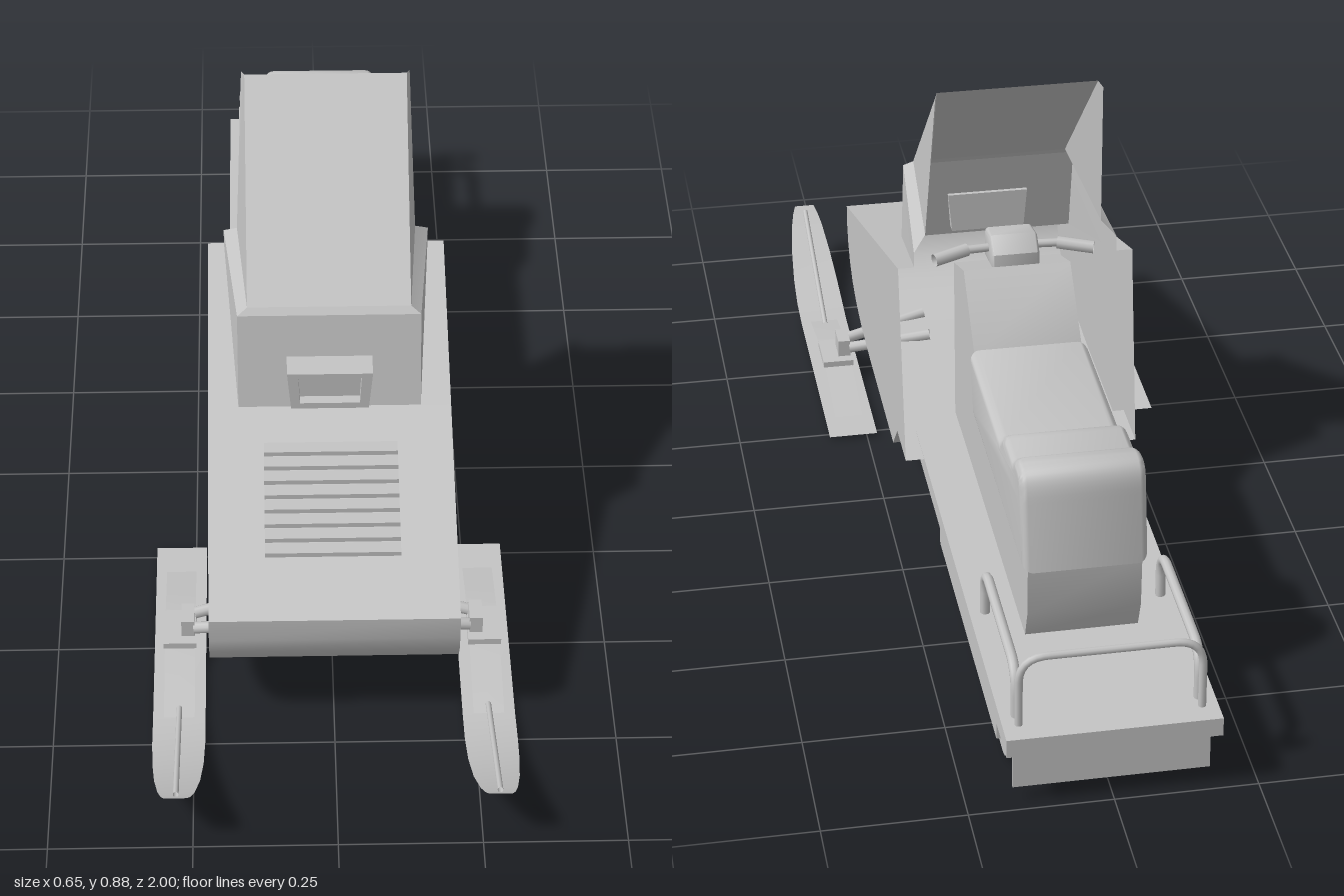
import * as THREE from 'three';
import { toCreasedNormals } from 'three/addons/utils/BufferGeometryUtils.js';

const grey = new THREE.MeshStandardMaterial({ color: 0xc4c4c4, side: THREE.DoubleSide });
grey.name = 'grey';

const V = (x, y, z) => new THREE.Vector3(x, y, z);

function add(parent, name, geometry, x = 0, y = 0, z = 0) {
  const m = new THREE.Mesh(geometry, grey);
  m.name = name;
  m.position.set(x, y, z);
  parent.add(m);
  return m;
}

const box = (w, h, d) => new THREE.BoxGeometry(w, h, d);
const sideShape = (pts) => new THREE.Shape(pts.map(([z, y]) => new THREE.Vector2(z, y)));

// Extrude a (z, y) side profile across x, centred on x = 0
function across(shape, width, bevel = 0) {
  const depth = width - 2 * bevel;
  const g = new THREE.ExtrudeGeometry(shape, {
    depth, bevelEnabled: bevel > 0, bevelSize: bevel, bevelThickness: bevel,
    bevelOffset: -bevel, bevelSegments: 5, curveSegments: 10,
  });
  return toCreasedNormals(g.translate(0, 0, -depth / 2).rotateY(-Math.PI / 2), 0.7);
}

// Thin skin through rows of points, all rows the same length
function skin(rows) {
  const n = rows[0].length, index = [];
  for (let i = 0; i < rows.length - 1; i++)
    for (let j = 0; j < n - 1; j++) {
      const a = i * n + j, b = a + n;
      index.push(a, b, a + 1, b, b + 1, a + 1);
    }
  const g = new THREE.BufferGeometry().setFromPoints(rows.flat());
  g.setIndex(index);
  g.computeVertexNormals();
  return g;
}

// Sheet of constant width following a (z, y) line
const sheet = (pts, w) => skin([-w / 2, w / 2].map((x) => pts.map(([z, y]) => V(x, y, z))));

// Tube along straight runs with rounded corners
function pipe(pts, r, bend = 0.05) {
  const path = new THREE.CurvePath();
  let from = pts[0];
  for (let i = 1; i < pts.length - 1; i++) {
    const p = pts[i];
    const a = p.clone().add(pts[i - 1].clone().sub(p).setLength(bend));
    const b = p.clone().add(pts[i + 1].clone().sub(p).setLength(bend));
    path.add(new THREE.LineCurve3(from, a));
    path.add(new THREE.QuadraticBezierCurve3(a, p, b));
    from = b;
  }
  path.add(new THREE.LineCurve3(from, pts[pts.length - 1]));
  return new THREE.TubeGeometry(path, pts.length > 2 ? 48 : 1, r, 10);
}

const hoodY = (z) => 0.26 + 0.347 * (0.715 - z);

// Rounded bar outline used for the track belt
function stadium(Type, z0, z1, y0, y1, r) {
  const s = new Type();
  s.moveTo(z0 + r, y0).lineTo(z1 - r, y0).quadraticCurveTo(z1, y0, z1, y0 + r);
  s.lineTo(z1, y1 - r).quadraticCurveTo(z1, y1, z1 - r, y1).lineTo(z0 + r, y1);
  s.quadraticCurveTo(z0, y1, z0, y1 - r).lineTo(z0, y0 + r).quadraticCurveTo(z0, y0, z0 + r, y0);
  return s;
}

function buildHood() {
  const g = new THREE.Group();
  g.name = 'hood';
  const nose = [[0.715, 0.26], [0.715, 0.215], [0.705, 0.18], [0.685, 0.148], [0.65, 0.12],
    [0.6, 0.1], [0.53, 0.087], [0.4, 0.08]];
  const belly = [[0.07, 0.08], [0.01, 0.143], [-0.1, 0.143]];
  for (const s of [1, -1])
    add(g, 'hoodSide', new THREE.ShapeGeometry(sideShape([...nose, ...belly, [-0.04, 0.522]]))
      .rotateY(-Math.PI / 2), s * 0.22);
  add(g, 'nose', sheet(nose, 0.44));
  add(g, 'bellyPan', sheet([[0.4, 0.08], belly[0]], 0.44));
  add(g, 'bellyRear', sheet([belly[0], belly[1]], 0.44));
  add(g, 'hoodFloor', sheet([belly[1], belly[2]], 0.44));
  // Sloping top with the cockpit opening cut into its rear
  add(g, 'hoodTop', sheet([[0.715, 0.26], [0.3, hoodY(0.3)]], 0.44));
  for (const s of [1, -1])
    add(g, 'hoodTopRim', skin([
      [V(s * 0.165, hoodY(0.3), 0.3), V(s * 0.22, hoodY(0.3), 0.3)],
      [V(s * 0.19, hoodY(-0.04), -0.04), V(s * 0.22, hoodY(-0.04), -0.04)]]));
  // Cooling louvres
  for (let i = 0; i < 8; i++) {
    const z = 0.595 - i * 0.028, e = z - 0.026;
    add(g, 'louvre', across(sideShape([[z, hoodY(z) - 0.002], [z, hoodY(z) + 0.009],
      [e, hoodY(e) + 0.001], [e, hoodY(e) - 0.002]]), 0.24));
  }
  return g;
}

function buildWindshield() {
  const g = new THREE.Group();
  g.name = 'windshield';
  // Level corners from front to rear: cowl foot, cowl lip, screen foot, screen top
  const levels = [
    [[0.165, 0.402, 0.3], [0.19, 0.52, -0.04]],
    [[0.165, 0.58, 0.26], [0.19, 0.552, -0.04]],
    [[0.147, 0.592, 0.25], [0.165, 0.575, -0.015]],
    [[0.147, 0.885, -0.06], [0.153, 0.88, -0.078]],
  ];
  const names = ['cowl', 'cowlLedge', 'screen'];
  const at = ([x, y, z], s) => V(s * x, y, z);
  for (let i = 0; i < 3; i++) {
    const [f0, r0] = levels[i], [f1, r1] = levels[i + 1];
    add(g, names[i] + 'Front', skin([[at(f0, -1), at(f0, 1)], [at(f1, -1), at(f1, 1)]]));
    for (const s of [1, -1])
      add(g, names[i] + 'Side', skin([[at(f0, s), at(r0, s)], [at(f1, s), at(r1, s)]]));
  }
  // Headlight housing: open frame with a recessed lens
  const frame = new THREE.Shape([[-0.07, 0], [0.07, 0], [0.077, 0.078], [-0.077, 0.078]]
    .map(([x, y]) => new THREE.Vector2(x, y)));
  frame.holes.push(new THREE.Path([[-0.054, 0.012], [-0.057, 0.068], [0.057, 0.068], [0.054, 0.012]]
    .map(([x, y]) => new THREE.Vector2(x, y))));
  add(g, 'headlightFrame', new THREE.ExtrudeGeometry(frame, { depth: 0.06, bevelEnabled: false }), 0, 0.423, 0.27);
  add(g, 'headlightLens', box(0.115, 0.06, 0.04), 0, 0.463, 0.29);
  return g;
}

function buildSki(s) {
  const g = new THREE.Group();
  g.name = s > 0 ? 'leftSki' : 'rightSki';
  const cx = s * 0.277;
  // Rows of [z, y, half width]
  const rows = [[0.23, 0.006, 0.047], [0.69, 0.006, 0.047], [0.76, 0.014, 0.047], [0.83, 0.032, 0.045],
    [0.9, 0.06, 0.04], [0.96, 0.092, 0.032], [0.985, 0.107, 0.026], [1, 0.118, 0.02]];
  add(g, 'skiBlade', skin(rows.map(([z, y, w]) => [V(cx - w, y, z), V(cx + w, y, z)])));
  add(g, 'skiKeel', box(0.008, 0.006, 0.4), cx, 0.003, 0.47);
  add(g, 'skiHandle', pipe([V(cx, 0.112, 0.985), V(cx, 0.012, 0.67)], 0.005));
  const spring = [[0.69, 0.008], [0.6, 0.027], [0.54, 0.036], [0.49, 0.038], [0.44, 0.036], [0.38, 0.025], [0.3, 0.008]];
  add(g, 'leafSpring', sheet(spring, 0.055), cx);
  // Spindle and steering struts
  add(g, 'springClamp', box(0.06, 0.012, 0.09), cx, 0.042, 0.495);
  add(g, 'spindle', box(0.024, 0.04, 0.05), s * 0.262, 0.062, 0.495);
  for (const d of [1, -1])
    add(g, 'strut', pipe([V(s * 0.25, 0.064, 0.495 + d * 0.02), V(s * 0.09, 0.093, 0.495 + d * 0.045)], 0.011));
  return g;
}

function buildRear() {
  const g = new THREE.Group();
  g.name = 'rearBody';
  add(g, 'tunnelDeck', box(0.37, 0.035, 1.0), 0, 0.127, -0.5);
  add(g, 'rearFlap', box(0.34, 0.09, 0.006), 0, 0.072, -0.97);
  // Track belt with suspension frame inside
  const belt = stadium(THREE.Shape, -0.89, -0.14, 0.01, 0.108, 0.05);
  belt.holes.push(stadium(THREE.Path, -0.878, -0.152, 0.022, 0.1, 0.04));
  add(g, 'trackBelt', across(belt, 0.33));
  add(g, 'trackFrame', box(0.346, 0.085, 0.62), 0, 0.067, -0.52);
  // Seat pedestal rising into the console
  add(g, 'console', across(sideShape([[0.06, 0.143], [-0.7, 0.143], [-0.722, 0.2], [-0.726, 0.298],
    [-0.2, 0.298], [-0.175, 0.4], [-0.055, 0.515], [0.06, 0.47]]), 0.2));
  const seat = new THREE.Shape();
  seat.moveTo(-0.2, 0.293).lineTo(-0.17, 0.41).lineTo(-0.47, 0.41);
  seat.bezierCurveTo(-0.51, 0.41, -0.505, 0.448, -0.545, 0.448).lineTo(-0.6, 0.448);
  seat.bezierCurveTo(-0.63, 0.448, -0.63, 0.476, -0.67, 0.476);
  seat.bezierCurveTo(-0.7, 0.476, -0.71, 0.46, -0.715, 0.42).lineTo(-0.735, 0.293);
  add(g, 'seat', across(seat, 0.22, 0.018));
  // Grab rails
  for (const s of [1, -1])
    add(g, 'sideRail', pipe([V(s * 0.157, 0.14, -0.62), V(s * 0.157, 0.237, -0.62),
      V(s * 0.157, 0.237, -0.932), V(s * 0.157, 0.14, -0.932)], 0.009));
  add(g, 'rearRail', pipe([V(-0.157, 0.14, -0.957), V(-0.157, 0.278, -0.957),
    V(0.157, 0.278, -0.957), V(0.157, 0.14, -0.957)], 0.007));
  return g;
}

function buildHandlebar() {
  const g = new THREE.Group();
  g.name = 'handlebar';
  const pad = sideShape([[0.04, 0.49], [-0.045, 0.505], [-0.045, 0.535], [-0.015, 0.562], [0.04, 0.55]]);
  add(g, 'handlebarPad', across(pad, 0.09, 0.008));
  for (const s of [1, -1]) {
    add(g, 'bar', pipe([V(s * 0.03, 0.53, 0), V(s * 0.1, 0.53, -0.005)], 0.008));
    add(g, 'grip', pipe([V(s * 0.085, 0.53, -0.003), V(s * 0.15, 0.525, -0.025)], 0.012));
  }
  return g;
}

export function createModel() {
  const model = new THREE.Group();
  model.name = 'snowmobile';
  model.add(buildHood(), buildWindshield(), buildRear(), buildHandlebar(), buildSki(1), buildSki(-1));
  return model;
}
